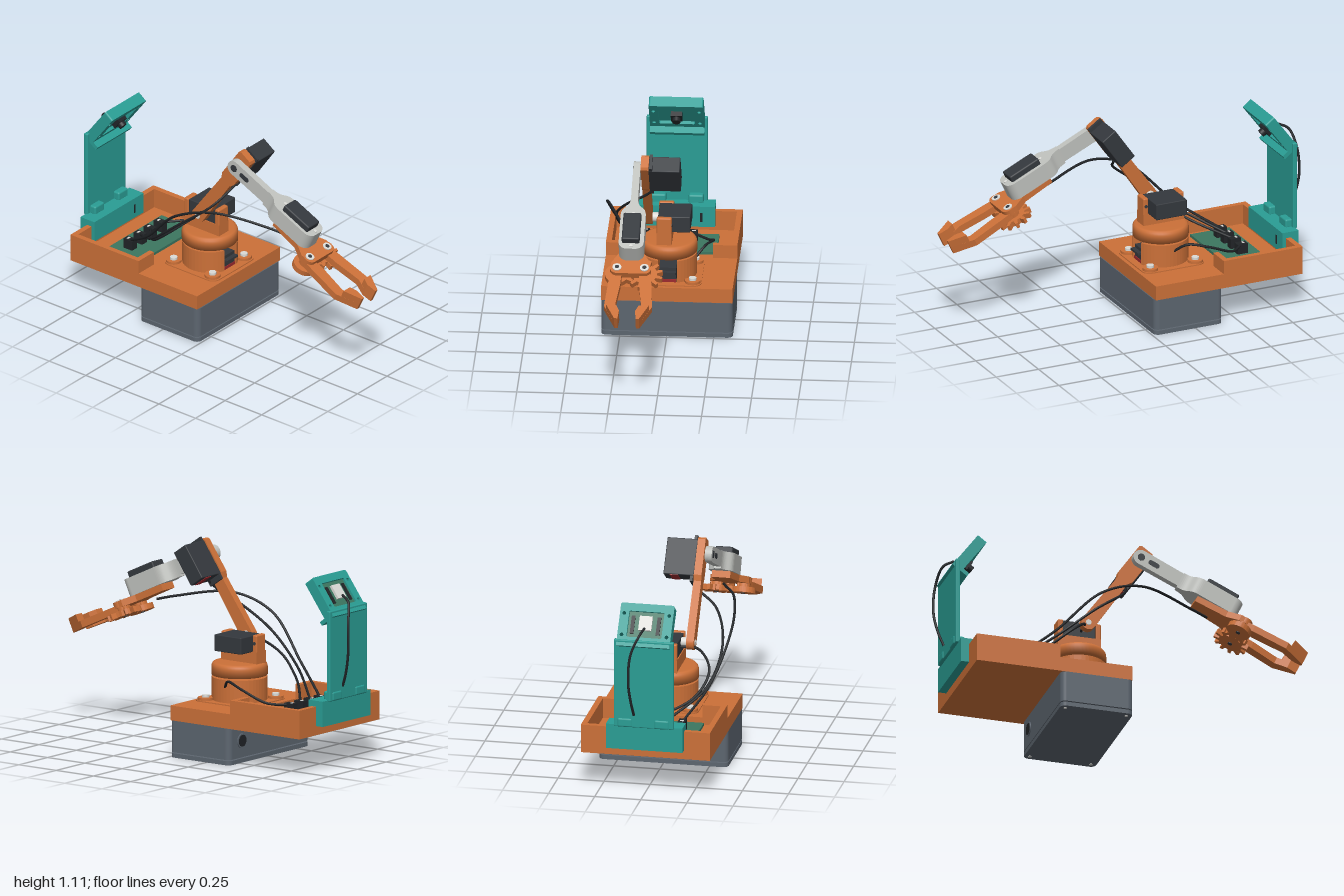
import * as THREE from 'three';
import { RoundedBoxGeometry } from 'three/addons/geometries/RoundedBoxGeometry.js';

const mat = (name, color) => Object.assign(new THREE.MeshStandardMaterial({ color }), { name });
const M = {
  orange: mat('orange plastic', 0xcb7038), teal: mat('teal plastic', 0x2a9d94),
  slate: mat('slate housing', 0x5c656f), dark: mat('servo charcoal', 0x34383d),
  black: mat('cable black', 0x212427), light: mat('light grey plastic', 0xbfc1bd),
  silver: mat('silver metal', 0xdadad6), green: mat('circuit green', 0x3c7660),
  red: mat('servo red', 0x9c2a2e),
};

export function createModel() {
  const root = new THREE.Group();
  const add = (parent, name, geo, m) => {
    const mesh = new THREE.Mesh(geo, M[m]);
    mesh.name = name;
    parent.add(mesh);
    return mesh;
  };
  // Box given by its limits on each axis
  const box = (p, name, m, [x0, x1], [y0, y1], [z0, z1], r = 0) => {
    const s = [x1 - x0, y1 - y0, z1 - z0];
    const g = r ? new RoundedBoxGeometry(...s, 2, r) : new THREE.BoxGeometry(...s);
    return add(p, name, g.translate((x0 + x1) / 2, (y0 + y1) / 2, (z0 + z1) / 2), m);
  };
  const disc = (p, name, m, r, h, x, y, z, axis = 'y') => {
    const g = new THREE.CylinderGeometry(r, r, h, 28);
    if (axis === 'x') g.rotateZ(Math.PI / 2);
    if (axis === 'z') g.rotateX(Math.PI / 2);
    return add(p, name, g.translate(x, y, z), m);
  };
  const poly = pts => new THREE.Shape(pts.map(p => new THREE.Vector2(...p)));
  const extrude = (shape, depth) =>
    new THREE.ExtrudeGeometry(shape, { depth, bevelEnabled: false, curveSegments: 20 });
  // Plan outline (x, z) between two heights, and side outline (z, y) between two x values
  const plan = (p, name, m, shape, y0, y1) =>
    add(p, name, extrude(shape, y1 - y0).rotateX(Math.PI / 2).translate(0, y1, 0), m);
  const side = (p, name, m, shape, x0, x1) =>
    add(p, name, extrude(shape, x1 - x0).rotateY(-Math.PI / 2).translate(x1, 0, 0), m);
  const roundRect = (x0, x1, y0, y1, r) => {
    const s = new THREE.Shape();
    s.absarc(x1 - r, y1 - r, r, 0, Math.PI / 2);
    s.absarc(x0 + r, y1 - r, r, Math.PI / 2, Math.PI);
    s.absarc(x0 + r, y0 + r, r, Math.PI, Math.PI * 1.5);
    s.absarc(x1 - r, y0 + r, r, Math.PI * 1.5, Math.PI * 2);
    return s;
  };
  const group = (name, y, z, tilt) => {
    const g = new THREE.Group();
    g.name = name;
    g.position.set(0, y, z);
    g.rotation.x = tilt;
    root.add(g);
    return g;
  };
  const cable = (name, pts, r = 0.007) => add(root, name, new THREE.TubeGeometry(
    new THREE.CatmullRomCurve3(pts.map(p => new THREE.Vector3(...p))), 48, r, 8), 'black');

  // Base housing with a separate bottom lid
  const foot = roundRect(-0.35, 0.35, -0.41, -0.01, 0.03);
  plan(root, 'baseLid', 'slate', foot, 0, 0.023);
  plan(root, 'baseHousing', 'slate', foot, 0.029, 0.2);
  disc(root, 'cableHoleRim', 'slate', 0.04, 0.008, 0.24, 0.12, -0.411, 'z');
  disc(root, 'cableHole', 'black', 0.032, 0.008, 0.24, 0.12, -0.413, 'z');
  for (const x of [-0.32, 0.32]) for (const z of [-0.38, -0.04])
    disc(root, 'lidScrew', 'silver', 0.01, 0.006, x, 0.001, z);

  // Platform and open electronics tray
  box(root, 'platform', 'orange', [-0.35, 0.35], [0.2, 0.28], [-0.43, -0.015]);
  box(root, 'trayFloor', 'orange', [-0.35, 0.35], [0.2, 0.245], [-0.88, -0.43]);
  box(root, 'trayBack', 'orange', [-0.35, 0.35], [0.2, 0.355], [-0.88, -0.85]);
  for (const s of [-1, 1]) {
    const span = (a, b) => (s > 0 ? [a, b] : [-b, -a]);
    box(root, 'traySide', 'orange', span(0.32, 0.35), [0.2, 0.355], [-0.88, -0.415]);
    box(root, 'trayFront', 'orange', span(0.22, 0.35), [0.2, 0.355], [-0.445, -0.415]);
  }
  box(root, 'circuitBoard', 'green', [-0.24, 0.235], [0.26, 0.275], [-0.73, -0.5]);
  for (const x of [-0.15, -0.065, 0.02, 0.105]) {
    box(root, 'plug', 'black', [x - 0.02, x + 0.02], [0.275, 0.33], [-0.665, -0.605]);
    box(root, 'plugPin', 'silver', [x - 0.01, x + 0.01], [0.33, 0.333], [-0.65, -0.64]);
  }

  // Turret: notched drum, mounting ears, servo and rotating cap
  const drum = new THREE.Shape();
  drum.absarc(0, -0.21, 0.148, 1.225, Math.PI - 1.225, true);
  drum.lineTo(-0.05, -0.28);
  drum.lineTo(0.05, -0.28);
  plan(root, 'turretDrum', 'orange', drum, 0.28, 0.41);
  plan(root, 'turretFlange', 'orange', roundRect(-0.18, 0.18, -0.395, -0.035, 0.045), 0.28, 0.286);
  for (const x of [-0.133, 0.133]) for (const z of [-0.35, -0.085]) {
    disc(root, 'turretEar', 'orange', 0.042, 0.02, x, 0.29, z);
    disc(root, 'turretScrew', 'silver', 0.02, 0.014, x, 0.306, z);
  }
  box(root, 'turretServo', 'dark', [-0.046, 0.046], [0.28, 0.368], [-0.279, -0.08]);
  box(root, 'turretServoFlange', 'dark', [-0.045, 0.045], [0.338, 0.35], [-0.279, -0.055]);
  box(root, 'turretServoBand', 'red', [-0.046, 0.046], [0.281, 0.303], [-0.081, -0.076]);
  disc(root, 'turretHorn', 'silver', 0.02, 0.04, 0, 0.38, -0.21);
  disc(root, 'turretHornDisc', 'dark', 0.045, 0.022, 0, 0.41, -0.21);
  const cap = [[0, 0.42], [0.15, 0.42], [0.15, 0.465], [0.147, 0.477], [0.14, 0.486], [0.128, 0.49], [0, 0.49]];
  add(root, 'turretCap', new THREE.LatheGeometry(cap.map(p => new THREE.Vector2(...p)), 48)
    .toNonIndexed().translate(0, 0, -0.21), 'orange');

  // Shoulder bracket and servo
  box(root, 'shoulderBase', 'orange', [-0.06, 0.02], [0.48, 0.555], [-0.34, -0.1]);
  box(root, 'shoulderPostFront', 'orange', [-0.06, 0.02], [0.48, 0.645], [-0.13, -0.1], 0.008);
  box(root, 'shoulderPostRear', 'orange', [-0.06, 0.02], [0.48, 0.645], [-0.34, -0.31], 0.008);
  box(root, 'shoulderServo', 'dark', [-0.055, 0.117], [0.552, 0.642], [-0.31, -0.13], 0.005);
  for (const z of [-0.115, -0.325]) disc(root, 'shoulderScrew', 'dark', 0.009, 0.006, 0.02, 0.6, z, 'x');
  disc(root, 'shoulderHorn', 'silver', 0.025, 0.035, -0.07, 0.613, -0.19, 'x');

  // Upper arm, local y runs from shoulder to elbow
  const upper = group('upperArm', 1.015, 0.09, 0.61);
  const link = new THREE.Shape();
  link.moveTo(0.047, 0.068);
  link.lineTo(0.035, 0.08);
  link.lineTo(-0.035, 0.08);
  link.lineTo(-0.047, 0.068);
  link.lineTo(-0.047, -0.13);
  link.lineTo(-0.033, -0.16);
  link.lineTo(-0.04, -0.49);
  link.absarc(0, -0.49, 0.04, Math.PI, Math.PI * 2);
  link.lineTo(0.033, -0.16);
  link.lineTo(0.047, -0.13);
  side(upper, 'upperLink', 'orange', link, -0.128, -0.086);
  disc(upper, 'shoulderCap', 'silver', 0.016, 0.006, -0.129, -0.49, 0, 'x');
  box(upper, 'elbowServo', 'dark', [-0.086, 0.08], [-0.135, 0.068], [-0.042, 0.052], 0.005);
  box(upper, 'elbowServoFlange', 'dark', [-0.082, -0.066], [-0.165, 0.09], [-0.04, 0.05]);
  box(upper, 'elbowServoBand', 'red', [0.0, 0.045], [-0.138, -0.13], [-0.038, 0.048]);

  // Forearm, local z runs from elbow to gripper
  const fore = group('forearm', 1.015, 0.09, 0.434);
  const bar = new THREE.Shape();
  bar.moveTo(0.38, 0.04);
  bar.lineTo(0, 0.043);
  bar.absarc(0, 0, 0.043, Math.PI / 2, Math.PI * 1.5);
  bar.lineTo(0.38, -0.04);
  side(fore, 'forearmBar', 'light', bar, -0.169, -0.131);
  disc(fore, 'elbowCap', 'dark', 0.02, 0.006, -0.169, 0, 0, 'x');
  side(fore, 'forearmSlot', 'dark', roundRect(0.045, 0.11, -0.014, 0.014, 0.0135), -0.171, -0.168);
  const cx = -0.15;
  const wrist = new THREE.Shape();
  wrist.moveTo(cx - 0.019, 0.24);
  wrist.lineTo(cx + 0.019, 0.24);
  wrist.bezierCurveTo(cx + 0.02, 0.32, cx + 0.066, 0.29, cx + 0.067, 0.36);
  wrist.lineTo(cx + 0.067, 0.55);
  wrist.absarc(cx + 0.022, 0.55, 0.045, 0, Math.PI / 2);
  wrist.absarc(cx - 0.022, 0.55, 0.045, Math.PI / 2, Math.PI);
  wrist.lineTo(cx - 0.067, 0.36);
  wrist.bezierCurveTo(cx - 0.066, 0.29, cx - 0.02, 0.32, cx - 0.019, 0.24);
  plan(fore, 'wristHousing', 'light', wrist, -0.052, 0.045);
  box(fore, 'gripperServo', 'dark', [-0.2, -0.105], [-0.02, 0.08], [0.37, 0.556], 0.008);
  disc(fore, 'wristScrew', 'silver', 0.009, 0.006, cx, 0.046, 0.35);
  disc(fore, 'wristScrew', 'silver', 0.009, 0.006, cx, 0.046, 0.575);

  // Gripper: mount plate, gears and two mirrored fingers
  const D = 0.638, P = 0.073;
  const mount = new THREE.Shape();
  mount.moveTo(cx - 0.05, 0.36);
  mount.lineTo(cx + 0.05, 0.36);
  mount.lineTo(cx + 0.065, 0.54);
  mount.lineTo(cx + 0.105, 0.61);
  mount.absarc(cx + P, D + 0.01, 0.036, -0.4, Math.PI / 2);
  mount.absarc(cx - P, D + 0.01, 0.036, Math.PI / 2, Math.PI + 0.4);
  mount.lineTo(cx - 0.105, 0.61);
  mount.lineTo(cx - 0.065, 0.54);
  plan(fore, 'gripperMount', 'orange', mount, -0.088, -0.052);
  const gear = (n, first, last, phase) => {
    const pts = [];
    for (let i = 0; i < n; i++) {
      const tooth = i >= first && i <= last;
      [[-0.3, 0.066], [-0.16, tooth ? 0.097 : 0.066], [0.16, tooth ? 0.097 : 0.066], [0.3, 0.066]]
        .forEach(([o, r]) => {
          const a = (i + o + phase) / n * Math.PI * 2;
          pts.push([Math.cos(a) * r, Math.sin(a) * r]);
        });
    }
    return poly(pts);
  };
  plan(fore, 'driveGear', 'orange', gear(12, 0, 11, 0.5), -0.138, -0.108).position.set(cx + P, 0, D);
  plan(fore, 'idlerGear', 'orange', gear(12, 0, 2, -1), -0.138, -0.108).position.set(cx - P, 0, D);
  for (const s of [-1, 1]) {
    const x = v => cx + s * v;
    const ordered = pts => poly(pts.map(([a, b]) => [x(a), b]));
    plan(fore, 'finger', 'orange', ordered([[0.045, 0.61], [0.1, 0.61], [0.112, 0.7], [0.128, 0.9],
      [0.066, 1.02], [0.048, 1.02], [0.043, 0.965], [0.07, 0.895], [0.05, 0.745]]), -0.11, -0.072);
    plan(fore, 'fingerTip', 'orange', ordered([[0.114, 0.925], [0.066, 1.02], [0.048, 1.02],
      [0.043, 0.965], [0.061, 0.925]]), -0.1, -0.03);
    disc(fore, 'fingerHub', 'orange', 0.035, 0.055, x(P), -0.11, D);
    disc(fore, 'fingerScrewWasher', 'silver', 0.024, 0.008, x(P), -0.051, D + 0.006);
    disc(fore, 'fingerScrewSocket', 'dark', 0.011, 0.006, x(P), -0.048, D + 0.006);
    disc(fore, 'fingerScrewEnd', 'dark', 0.012, 0.006, x(P), -0.139, D);
  }

  // Camera stand: clip over the tray wall, hinge and upright panel
  box(root, 'clipTop', 'teal', [-0.21, 0.205], [0.355, 0.387], [-0.925, -0.83]);
  box(root, 'clipInner', 'teal', [-0.21, 0.205], [0.27, 0.387], [-0.85, -0.83]);
  box(root, 'clipOuter', 'teal', [-0.21, 0.205], [0.25, 0.387], [-0.925, -0.88]);
  box(root, 'clipSlot', 'black', [0.125, 0.137], [0.3, 0.35], [-0.832, -0.828]);
  for (const x of [-0.1, 0.1])
    box(root, 'hingeKnuckle', 'teal', [x - 0.04, x + 0.04], [0.38, 0.43], [-0.945, -0.88], 0.01);
  box(root, 'standPanel', 'teal', [-0.165, 0.16], [0.38, 0.87], [-0.94, -0.915], 0.006);

  // Camera head, tilted forward
  const head = group('cameraHead', 0.922, -0.855, 0.64);
  const frame = roundRect(-0.145, 0.145, -0.118, 0.118, 0.01);
  frame.holes.push(roundRect(-0.095, 0.095, -0.07, 0.075, 0.008));
  for (const x of [-0.122, 0.122]) for (const y of [-0.06, 0.06])
    frame.holes.push(new THREE.Path().absarc(x, y, 0.01, 0, Math.PI * 2, true));
  add(head, 'headFrame', extrude(frame, 0.06).translate(0, 0, -0.03), 'teal');
  box(head, 'headLip', 'teal', [-0.145, 0.145], [-0.122, -0.1], [-0.03, 0.068]);
  box(head, 'headRecess', 'teal', [-0.096, 0.096], [-0.071, 0.076], [0.0, 0.012]);
  box(head, 'cameraBoard', 'green', [-0.094, 0.094], [-0.069, 0.074], [-0.02, 0.0]);
  box(head, 'cameraChip', 'silver', [-0.035, 0.035], [-0.03, 0.05], [-0.034, -0.02]);
  for (const x of [-0.07, 0.07]) box(head, 'boardHeader', 'black', [x - 0.01, x + 0.01], [-0.05, 0.05], [-0.026, -0.02]);
  box(head, 'cameraBody', 'black', [-0.03, 0.03], [-0.025, 0.035], [0.012, 0.04]);
  disc(head, 'cameraLens', 'black', 0.022, 0.025, 0, 0.005, 0.05, 'z');

  // Cables
  cable('gripperCable', [[-0.15, 0.32, -0.635], [-0.26, 0.47, -0.42], [-0.325, 0.7, -0.18],
    [-0.29, 0.785, 0.06], [-0.18, 0.745, 0.36], [-0.15, 0.72, 0.46]]);
  cable('elbowCable', [[-0.065, 0.32, -0.635], [-0.24, 0.45, -0.41], [-0.28, 0.62, -0.2],
    [-0.21, 0.76, -0.03], [-0.1, 0.84, 0.02], [-0.05, 0.9, 0.05]]);
  cable('shoulderCable', [[0.02, 0.32, -0.635], [-0.18, 0.4, -0.45], [-0.23, 0.51, -0.31],
    [-0.15, 0.59, -0.22], [-0.05, 0.59, -0.21]]);
  cable('turretCable', [[0.105, 0.32, -0.635], [0.19, 0.33, -0.54], [0.225, 0.39, -0.4],
    [0.19, 0.415, -0.28], [0.14, 0.37, -0.22]]);
  cable('cameraCable', [[0, 0.93, -0.9], [0.02, 0.9, -0.955], [0.06, 0.8, -0.985], [0.07, 0.65, -0.993],
    [0.06, 0.53, -0.97], [0.05, 0.45, -0.94]]);
  return root;
}
